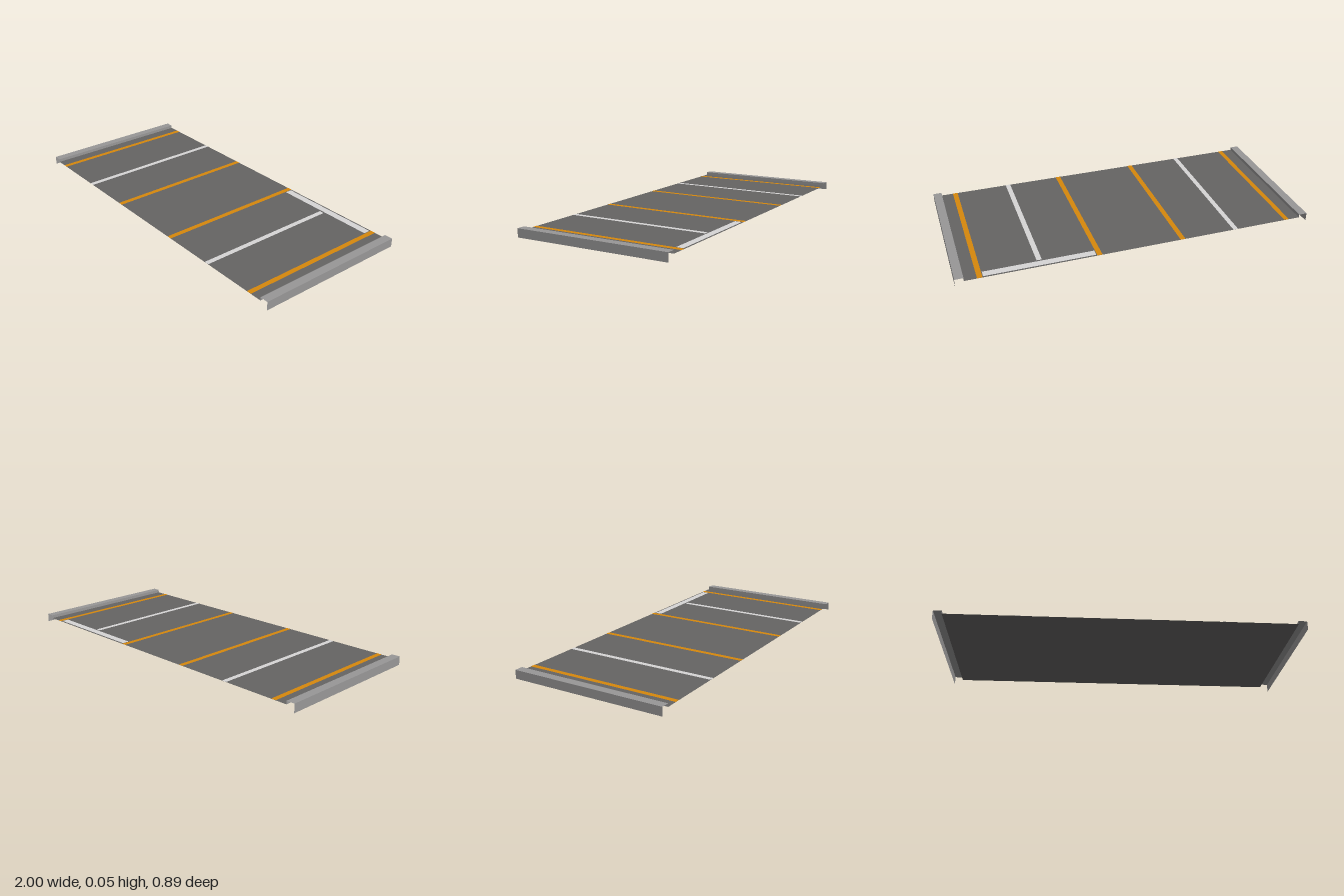
import * as THREE from 'three';

const HALF_Z = 0.445, ROAD_Y = 0.03, CURB_Y = 0.048, CURB_IN = 0.953;

function makeMaterial(name, color) {
  const m = new THREE.MeshStandardMaterial({ color, side: THREE.DoubleSide });
  m.name = name;
  return m;
}

export function createModel() {
  const group = new THREE.Group();
  const asphalt = makeMaterial('asphalt', 0x656463);
  const concrete = makeMaterial('concrete', 0x989797);
  const whitePaint = makeMaterial('white paint', 0xd6d5d5);
  const orangePaint = makeMaterial('orange paint', 0xd7880c);

  // Flat sheet facing up, given by its x and z limits
  function sheet(name, x0, x1, z0, z1, y, material) {
    const geo = new THREE.PlaneGeometry(x1 - x0, z1 - z0).rotateX(-Math.PI / 2);
    const mesh = new THREE.Mesh(geo, material);
    mesh.position.set((x0 + x1) / 2, y, (z0 + z1) / 2);
    mesh.name = name;
    group.add(mesh);
  }

  // Upright sheet along z, facing +x or -x
  function wall(name, x, y0, y1, facing) {
    const geo = new THREE.PlaneGeometry(HALF_Z * 2, y1 - y0).rotateY(facing * Math.PI / 2);
    const mesh = new THREE.Mesh(geo, concrete);
    mesh.position.set(x, (y0 + y1) / 2, 0);
    mesh.name = name;
    group.add(mesh);
  }

  // Road surface
  sheet('road', -CURB_IN, CURB_IN, -HALF_Z, HALF_Z, ROAD_Y, asphalt);

  // Curbs: top, outer face and inner face on both sides
  for (const [side, s] of [['left', 1], ['right', -1]]) {
    sheet(side + 'CurbTop', Math.min(s, s * CURB_IN), Math.max(s, s * CURB_IN),
      -HALF_Z, HALF_Z, CURB_Y, concrete);
    wall(side + 'CurbOuterFace', s, 0, CURB_Y, s);
    wall(side + 'CurbInnerFace', s * CURB_IN, ROAD_Y, CURB_Y, -s);
  }

  // Painted lines along the road
  const paintY = ROAD_Y + 0.001, w = 0.014;
  for (const x of [-0.875, -0.238, 0.236, 0.873])
    sheet('orangeLine', x - w, x + w, -HALF_Z, HALF_Z, paintY, orangePaint);
  sheet('rightLaneLine', -0.555 - w, -0.555 + w, -HALF_Z, HALF_Z, paintY, whitePaint);
  sheet('leftLaneLine', 0.552 - w, 0.552 + w, -0.387, HALF_Z, paintY, whitePaint);

  // Stop line across the left lanes
  sheet('stopLine', 0.254, 0.855, -0.436, -0.396, paintY, whitePaint);

  return group;
}
